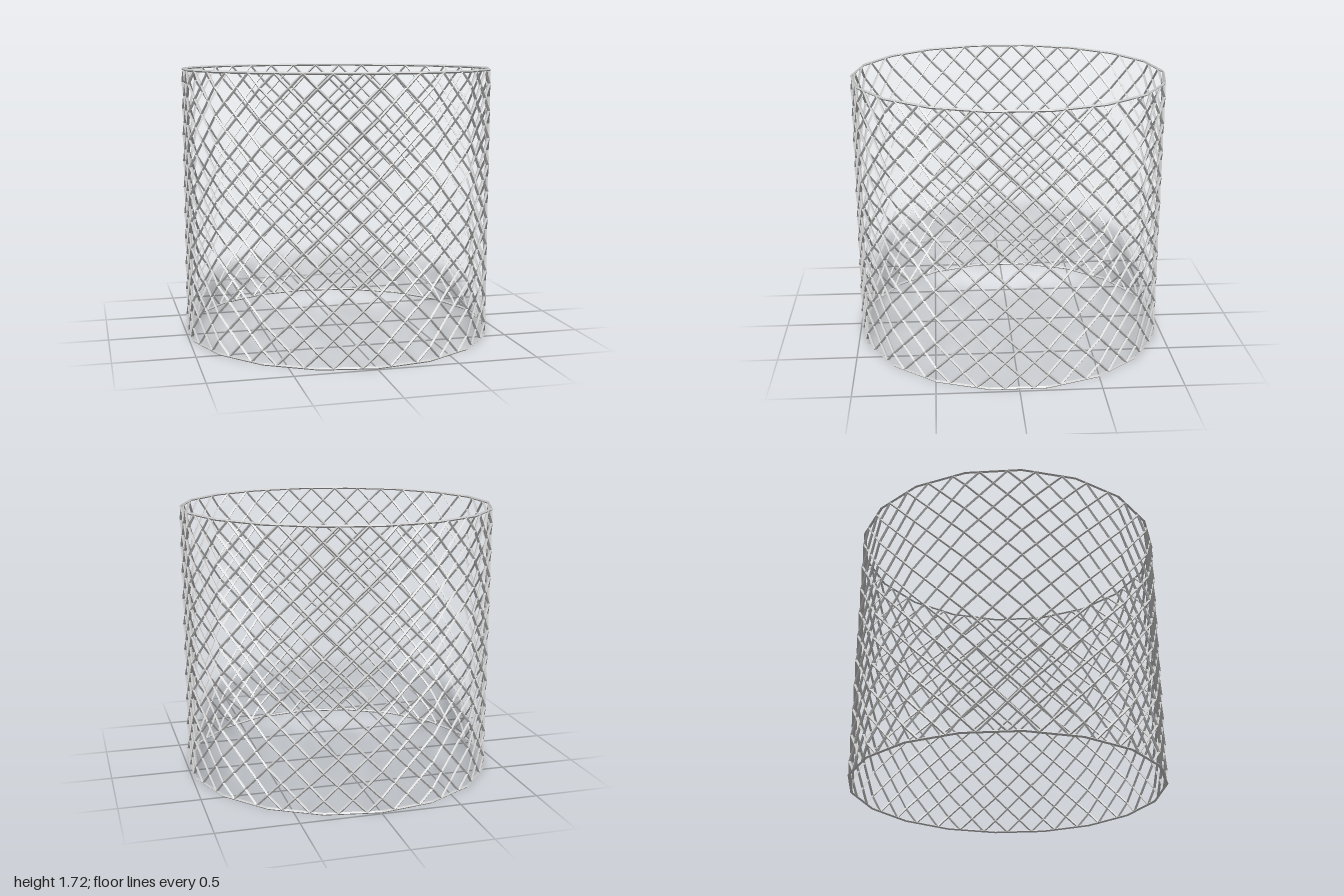
import * as THREE from 'three';
import { mergeGeometries } from 'three/addons/utils/BufferGeometryUtils.js';

const SIDES = 18;                 // flat panels around the cylinder
const COLUMNS = SIDES * 2;        // two diamonds per panel
const ROWS = 10;                  // diamonds over the height
const HEIGHT = 1.72;
const WIRE = 0.0085;              // half the diagonal of the diamond-shaped wire
const HALF = Math.PI / SIDES;
const RADIUS = 1 - WIRE / Math.cos(HALF);
const UP = new THREE.Vector3(0, 1, 0);

const corner = (i) => new THREE.Vector3(
  RADIUS * Math.sin(i * 2 * HALF), 0, RADIUS * Math.cos(i * 2 * HALF));

// Point, outward normal and tangent at column u (panel corners are at even u)
function onWall(u, y) {
  const panel = Math.floor(u / 2), t = u / 2 - panel;
  const a = corner(panel), b = corner(panel + 1);
  const point = a.clone().lerp(b, t).setY(y);
  const angle = t === 0 ? panel * 2 * HALF : (panel * 2 + 1) * HALF;
  const normal = new THREE.Vector3(Math.sin(angle), 0, Math.cos(angle));
  if (t === 0) normal.divideScalar(Math.cos(HALF)); // mitre at the corner
  return { point, normal, tangent: b.sub(a).normalize() };
}

// Four-sided section: outward, across, inward, across
function section(point, normal, across) {
  return [[normal, WIRE], [across, 1], [normal, -WIRE], [across, -1]]
    .map(([v, s]) => point.clone().addScaledVector(v, s));
}

// Skin a row of sections, optionally joined into a ring
function skin(sections, closed) {
  const positions = [];
  const tri = (...pts) => pts.forEach((p) => positions.push(p.x, p.y, p.z));
  const n = sections.length;
  for (let i = 0; i < (closed ? n : n - 1); i++) {
    const a = sections[i], b = sections[(i + 1) % n];
    for (let j = 0; j < 4; j++) {
      const k = (j + 1) % 4;
      tri(a[j], b[j], b[k]);
      tri(a[j], b[k], a[k]);
    }
  }
  const geometry = new THREE.BufferGeometry();
  geometry.setAttribute('position', new THREE.Float32BufferAttribute(positions, 3));
  geometry.computeVertexNormals();
  return geometry;
}

// A diagonal wire climbing (slope 1) or falling (slope -1) around the wall
function strand(start, slope) {
  const end = start + ROWS;
  const stops = [start];
  for (let u = Math.ceil(start / 2) * 2; u < end; u += 2) stops.push(u);
  stops.push(end);
  const thick = WIRE * Math.SQRT2;
  return skin(stops.map((u) => {
    const f = (u - start) / ROWS;
    const y = WIRE + (HEIGHT - 2 * WIRE) * (slope > 0 ? f : 1 - f);
    const { point, normal, tangent } = onWall(u, y);
    // ends are cut level with the rims, bends are cut upright
    const across = u === start || u === end
      ? tangent.multiplyScalar(-slope * thick)
      : UP.clone().multiplyScalar(thick);
    return section(point, normal, across);
  }), false);
}

function rim(y) {
  const sections = [];
  for (let i = 0; i < SIDES; i++) {
    const { point, normal } = onWall(i * 2, y);
    sections.push(section(point, normal, UP.clone().multiplyScalar(WIRE)));
  }
  return skin(sections, true);
}

export function createModel() {
  const group = new THREE.Group();
  group.name = 'latticeCylinder';
  const material = new THREE.MeshStandardMaterial({ color: 0xcccccc, flatShading: true });
  const add = (name, geometry) => {
    const mesh = new THREE.Mesh(geometry, material);
    mesh.name = name;
    group.add(mesh);
  };

  // Two crossing families of wires
  for (const [name, slope] of [['risingWires', 1], ['fallingWires', -1]]) {
    const wires = [];
    for (let k = 0; k < COLUMNS; k++) wires.push(strand(k + 0.5, slope));
    add(name, mergeGeometries(wires));
  }

  // Rims closing the lattice
  add('bottomRim', rim(WIRE));
  add('topRim', rim(HEIGHT - WIRE));
  return group;
}
